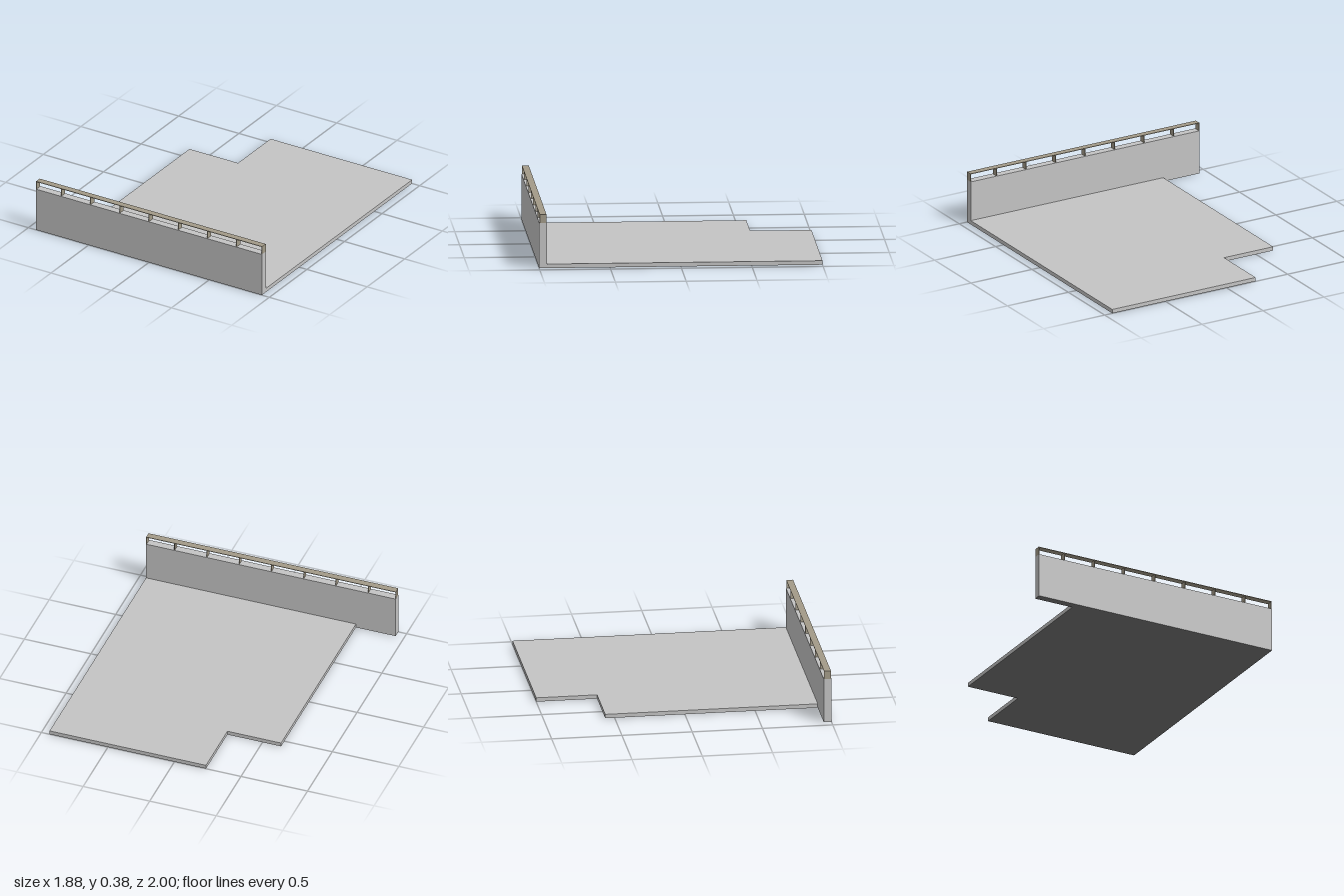
import * as THREE from 'three';

export function createModel() {
  const model = new THREE.Group();
  model.name = 'terrace';

  function paint(name, color) {
    const material = new THREE.MeshStandardMaterial({ color });
    material.name = name;
    return material;
  }
  const concrete = paint('concrete grey', 0xc4c4c4);
  const bronze = paint('bronze brown', 0xa29a88);
  const dark = paint('underside dark grey', 0x737373);

  // Box given by its lower and upper corners
  function block(name, material, [x0, y0, z0], [x1, y1, z1], parent = model) {
    const mesh = new THREE.Mesh(new THREE.BoxGeometry(x1 - x0, y1 - y0, z1 - z0), material);
    mesh.position.set((x0 + x1) / 2, (y0 + y1) / 2, (z0 + z1) / 2);
    mesh.name = name;
    parent.add(mesh);
  }

  // Shape from x, z corners
  const plan = (corners) => new THREE.Shape(corners.map(([x, z]) => new THREE.Vector2(x, z)));

  const halfWidth = 0.938, wallBack = 0.945, wallTop = 0.324, railTop = 0.384;
  const base = 0.001;
  const backCorners = [[-0.64, wallBack], [-0.64, -0.567], [-0.237, -0.567], [-0.237, -1], [halfWidth, -1]];

  // Floor slab with a notched back corner, extruded downwards from its top
  const slab = new THREE.Mesh(
    new THREE.ExtrudeGeometry(plan([...backCorners, [halfWidth, wallBack]]),
      { depth: 0.03 - base, bevelEnabled: false }), concrete);
  slab.rotation.x = Math.PI / 2;
  slab.position.y = 0.03;
  slab.name = 'floorSlab';
  model.add(slab);

  // Parapet wall along the front
  block('parapetWall', concrete, [-halfWidth, base, wallBack], [halfWidth, wallTop, 1]);

  // Dark underside face below slab and wall
  const underside = new THREE.Mesh(new THREE.ShapeGeometry(plan(
    [...backCorners, [halfWidth, 1], [-halfWidth, 1], [-halfWidth, wallBack]])), dark);
  underside.rotation.x = Math.PI / 2;
  underside.name = 'underside';
  model.add(underside);

  // Railing: thin flat posts under a flat handrail
  const railing = new THREE.Group();
  railing.name = 'railing';
  model.add(railing);
  const z0 = 0.948, z1 = 0.996, plate = 0.004;
  block('handrail', bronze, [-halfWidth, railTop - plate, z0], [halfWidth, railTop, z1], railing);

  const end = halfWidth - plate / 2;
  for (const x of [-end, -0.73, -0.487, -0.245, -0.002, 0.24, 0.483, 0.725, end]) {
    block('railPost', bronze, [x - plate / 2, wallTop, z0],
      [x + plate / 2, railTop - plate, z1], railing);
  }
  return model;
}
